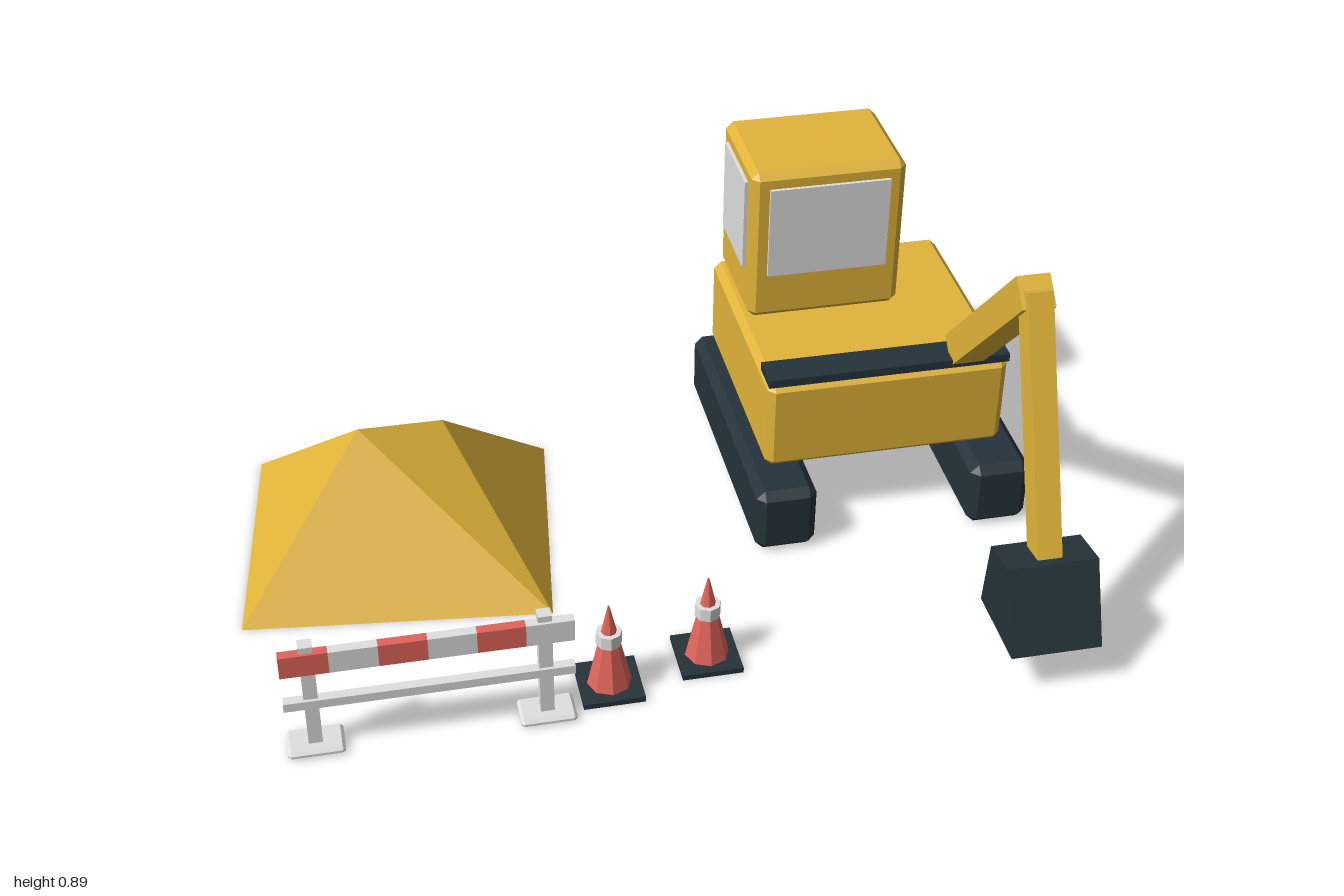
import * as THREE from 'three';
import { ConvexGeometry } from 'three/addons/geometries/ConvexGeometry.js';

const mat = (name, color) => {
  const m = new THREE.MeshStandardMaterial({ color });
  m.name = name;
  return m;
};

export function createModel() {
  const yellow = mat('yellow', 0xe2b53a);
  const dark = mat('dark slate', 0x26333a);
  const white = mat('light grey', 0xe0e0e0);
  const red = mat('red', 0xe2655a);

  const model = new THREE.Group();
  model.name = 'constructionSite';
  const group = (name) => {
    const g = new THREE.Group();
    g.name = name;
    model.add(g);
    return g;
  };
  const add = (parent, name, geometry, material) => {
    const mesh = new THREE.Mesh(geometry, material);
    mesh.name = name;
    parent.add(mesh);
    return mesh;
  };
  const hull = (points) => new ConvexGeometry(points.map((p) => new THREE.Vector3(...p)));

  // Box given by its extents; a positive bevel chamfers all twelve edges
  const block = (parent, name, material, [x0, x1], [y0, y1], [z0, z1], bevel = 0) => {
    const h = [(x1 - x0) / 2, (y1 - y0) / 2, (z1 - z0) / 2];
    let geometry;
    if (bevel) {
      const points = [];
      for (const sx of [-1, 1]) for (const sy of [-1, 1]) for (const sz of [-1, 1])
        for (let axis = 0; axis < 3; axis++)
          points.push([sx, sy, sz].map((s, i) => s * (h[i] - (i === axis ? 0 : bevel))));
      geometry = hull(points);
    } else geometry = new THREE.BoxGeometry(...h.map((v) => v * 2));
    const mesh = add(parent, name, geometry, material);
    mesh.position.set((x0 + x1) / 2, (y0 + y1) / 2, (z0 + z1) / 2);
    return mesh;
  };

  // Straight arm between two [y, z] points
  const beam = (parent, name, x, [y0, z0], [y1, z1], width, depth) => {
    const length = Math.hypot(y1 - y0, z1 - z0);
    const mesh = add(parent, name, new THREE.BoxGeometry(width, length, depth), yellow);
    mesh.position.set(x, (y0 + y1) / 2, (z0 + z1) / 2);
    mesh.rotation.x = Math.atan2(z1 - z0, y1 - y0);
  };

  // Excavator: tracks, body and cab
  const excavator = group('excavator');
  block(excavator, 'rightTrack', dark, [0.288, 0.442], [0, 0.178], [-0.689, 0.064], 0.021);
  block(excavator, 'leftTrack', dark, [0.845, 0.999], [0, 0.178], [-0.689, 0.064], 0.021);
  block(excavator, 'body', yellow, [0.333, 0.951], [0.18, 0.426], [-0.667, -0.045], 0.018);
  block(excavator, 'deckPlate', dark, [0.333, 0.951], [0.425, 0.447], [-0.132, -0.046]);
  block(excavator, 'cab', yellow, [0.356, 0.753], [0.426, 0.845], [-0.667, -0.357], 0.018);
  block(excavator, 'frontWindow', white, [0.4, 0.71], [0.556, 0.803], [-0.357, -0.348]);
  block(excavator, 'sideWindow', white, [0.347, 0.356], [0.556, 0.803], [-0.62, -0.404]);

  // Excavator: digging arm and bucket
  const armX = 0.842;
  beam(excavator, 'boom', armX, [0.45, -0.087], [0.867, 0.313], 0.08, 0.08);
  beam(excavator, 'stick', armX, [0.868, 0.307], [0.26, 0.562], 0.06, 0.068);
  const bucketProfile = [[0.312, 0.602], [0.293, 0.49], [0.116, 0.468], [0.116, 0.686]];
  const bucketPoints = [0.732, 0.951].flatMap((x) => bucketProfile.map(([y, z]) => [x, y, z]));
  add(excavator, 'bucket', hull(bucketPoints), dark);

  // Pile of sand with a short sloping ridge
  add(group('sandPile'), 'sand', hull([
    [-0.917, 0, -0.559], [-0.168, 0, -0.479], [-0.254, 0, 0.19], [-1, 0, 0.104],
    [-0.671, 0.377, -0.142], [-0.457, 0.315, -0.227],
  ]), yellow);

  // Traffic cones
  for (const [x, z] of [[-0.166, 0.465], [0.079, 0.413]]) {
    const cone = group('trafficCone');
    cone.position.set(x, 0, z);
    block(cone, 'coneBase', dark, [-0.073, 0.073], [0, 0.014], [-0.073, 0.073]);
    const faceted = (name, material, rTop, rBottom, y0, y1) => {
      const g = new THREE.CylinderGeometry(rTop, rBottom, y1 - y0, 8).toNonIndexed();
      g.computeVertexNormals();
      add(cone, name, g, material).position.y = (y0 + y1) / 2;
    };
    faceted('coneBody', red, 0.002, 0.053, 0.014, 0.241);
    faceted('coneBand', white, 0.031, 0.031, 0.132, 0.166);
  }

  // Barrier: two feet with posts, a striped board and a lower rail
  const barrier = group('barrier');
  for (const x of [-0.853, -0.324]) {
    block(barrier, 'foot', white, [x - 0.065, x + 0.065], [0, 0.02], [0.488, 0.574], 0.007);
    block(barrier, 'post', white, [x - 0.016, x + 0.016], [0.018, 0.304], [0.515, 0.545]);
  }
  const boardStart = -0.915, stripe = 0.1095;
  for (let i = 0; i < 6; i++) {
    const x = boardStart + i * stripe;
    block(barrier, 'boardStripe', i % 2 ? white : red, [x, x + stripe], [0.23, 0.288], [0.528, 0.552]);
  }
  block(barrier, 'lowerRail', white, [boardStart, boardStart + 6 * stripe], [0.13, 0.153], [0.528, 0.552]);

  return model;
}
